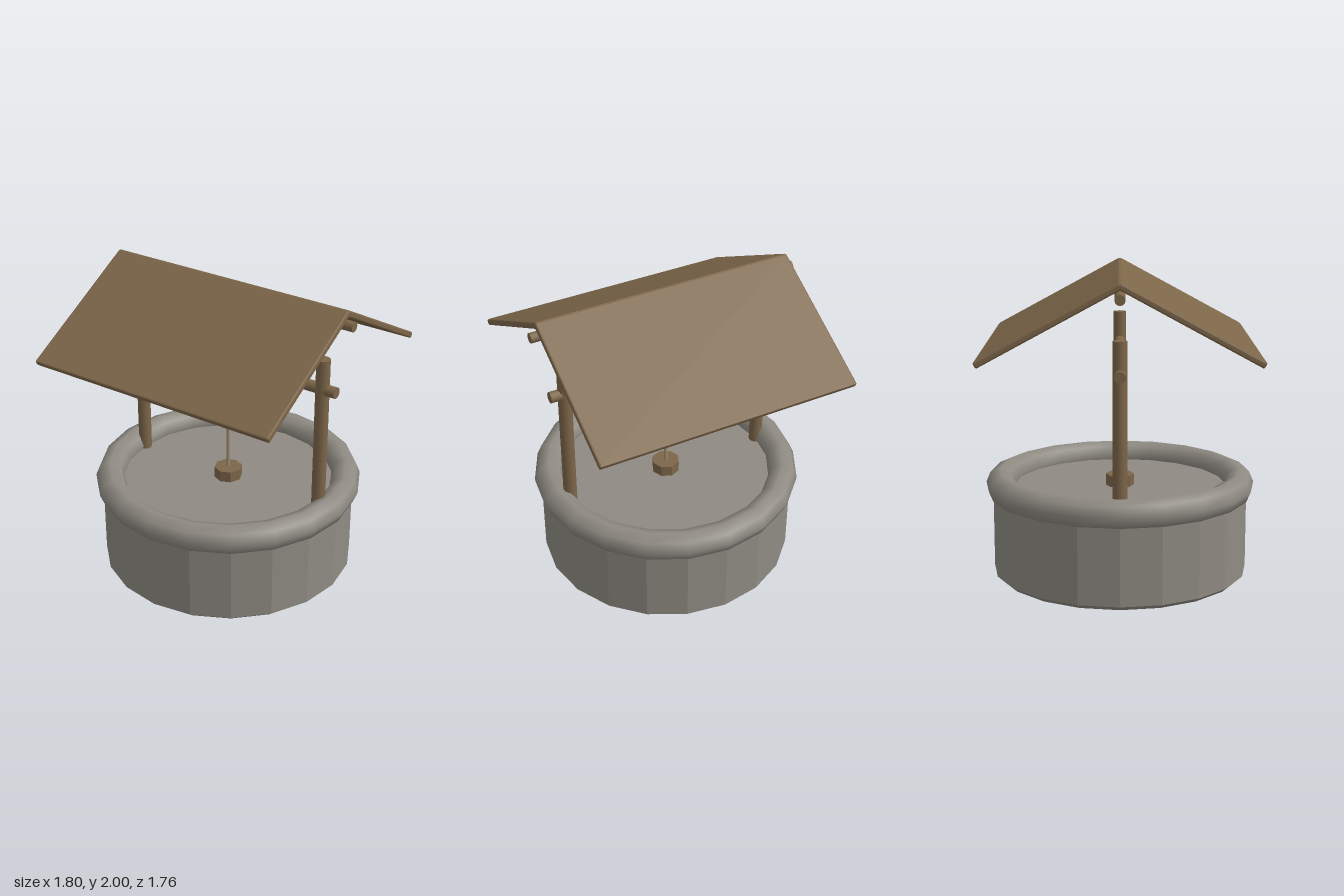
import * as THREE from 'three';
import { RoundedBoxGeometry } from 'three/addons/geometries/RoundedBoxGeometry.js';

const stone = new THREE.MeshStandardMaterial({ color: 0x8f8b83 });
const stoneFlat = new THREE.MeshStandardMaterial({ color: 0x8f8b83, flatShading: true });
const wood = new THREE.MeshStandardMaterial({ color: 0x7d6649 });
const woodFlat = new THREE.MeshStandardMaterial({ color: 0x7d6649, flatShading: true });
const hemp = new THREE.MeshStandardMaterial({ color: 0x9c8d70 });

export function createModel() {
  const well = new THREE.Group();
  well.name = 'well';

  const add = (name, geometry, material, x = 0, y = 0, z = 0) => {
    const mesh = new THREE.Mesh(geometry, material);
    mesh.name = name;
    mesh.position.set(x, y, z);
    well.add(mesh);
    return mesh;
  };
  // Upright round pole between two heights
  const pole = (name, r, y0, y1, x, material, sides = 12) =>
    add(name, new THREE.CylinderGeometry(r, r, y1 - y0, sides), material, x, (y0 + y1) / 2);
  // Round bar lying along x
  const bar = (name, r, length, y) =>
    add(name, new THREE.CylinderGeometry(r, r, length, 12).rotateZ(Math.PI / 2), wood, 0, y);

  // Faceted stone drum with chamfered edges and a closed top
  const profile = [[0, 0], [0.8, 0], [0.835, 0.03], [0.835, 0.55], [0.805, 0.58], [0, 0.58]]
    .map(([r, y]) => new THREE.Vector2(r, y));
  add('stoneBase', new THREE.LatheGeometry(profile, 20), stoneFlat);

  // Rounded stone rim
  add('stoneRim', new THREE.TorusGeometry(0.785, 0.095, 8, 20).rotateX(Math.PI / 2), stone, 0, 0.6);

  // Posts, winding beam and ridge pole
  for (const side of [-1, 1]) pole(side > 0 ? 'leftPost' : 'rightPost', 0.044, 0.5, 1.64, side * 0.7, wood);
  bar('windingBeam', 0.036, 1.6, 1.437);
  bar('ridgePole', 0.032, 1.8, 1.903);

  // Rope and bucket
  pole('rope', 0.012, 0.62, 1.43, 0, hemp, 8);
  pole('bucket', 0.092, 0.57, 0.655, 0, woodFlat, 8);

  // Two roof slabs, hinged at the ridge and sloping down to front and back
  const slope = THREE.MathUtils.degToRad(28.5), length = 0.977, thickness = 0.04;
  for (const side of [-1, 1]) {
    const slab = new RoundedBoxGeometry(1.725, thickness, length, 1, 0.01);
    slab.translate(0, -thickness / 2, side * length / 2);
    const roof = add(side > 0 ? 'frontRoof' : 'backRoof', slab, woodFlat, 0, 2, 0);
    roof.rotation.x = side * slope;
  }
  return well;
}
